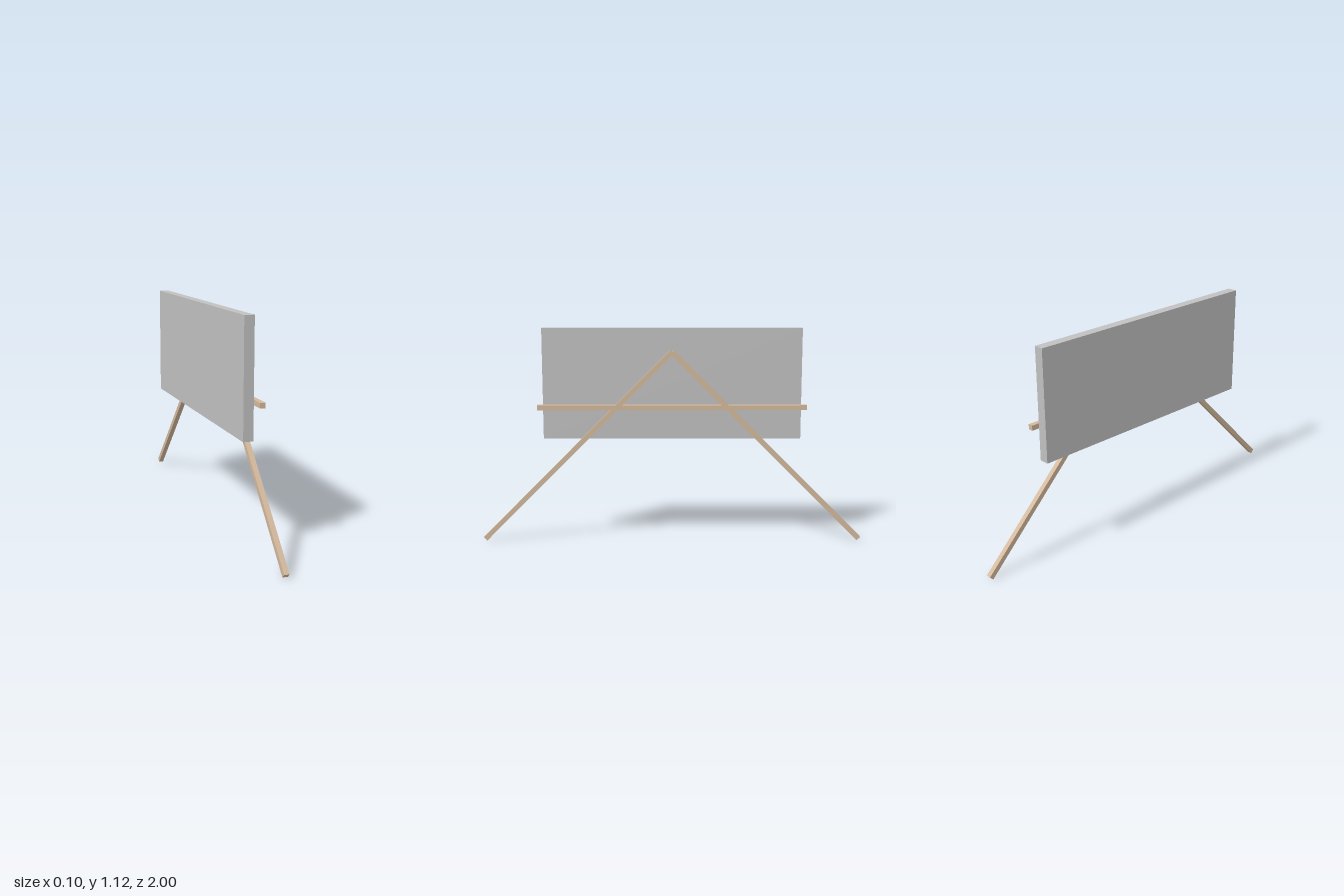
import * as THREE from 'three';

export function createModel() {
  const model = new THREE.Group();
  const wood = new THREE.MeshStandardMaterial({ color: 0xd2b89c });
  wood.name = 'wood';
  const grey = new THREE.MeshStandardMaterial({ color: 0xc0c0c0 });
  grey.name = 'boardGrey';

  const T = 0.026; // beam thickness
  const beamX = 0.035;

  function addBox(name, material, size, position, tilt = 0) {
    const mesh = new THREE.Mesh(new THREE.BoxGeometry(...size), material);
    mesh.name = name;
    mesh.position.set(...position);
    mesh.rotation.x = tilt;
    model.add(mesh);
  }

  // Upright board
  addBox('board', grey, [0.05, 0.579, 1.35], [-0.0235, 0.8315, 0]);

  // Two square-cut legs leaning at 45 degrees and meeting at the apex
  const end = T / 2 / Math.SQRT2; // lifts the lowest corner onto the ground
  const run = 1 - end;
  for (const side of [1, -1]) {
    addBox(side > 0 ? 'frontLeg' : 'backLeg', wood, [T, T, run * Math.SQRT2],
      [beamX, end + run / 2, side * run / 2], side * Math.PI / 4);
  }

  // Horizontal crossbar
  addBox('crossbar', wood, [T, T, 1.4], [beamX, 0.712, 0]);

  return model;
}
